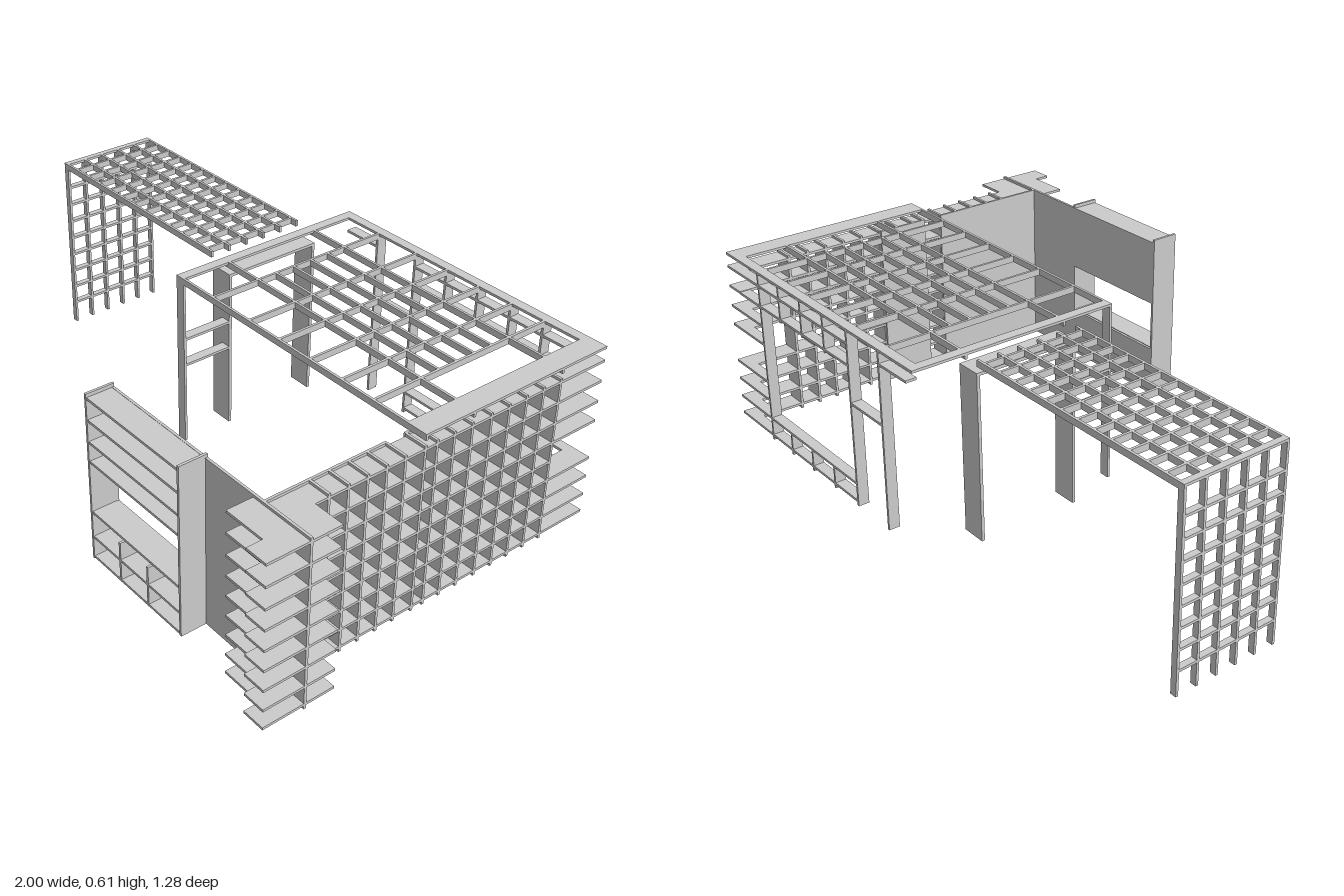
import * as THREE from 'three';

const mat = new THREE.MeshStandardMaterial({ color: 0xcccccc, flatShading: true });
const T = 0.008; // board thickness

export function createModel() {
  const model = new THREE.Group();

  const section = (name) => {
    const g = new THREE.Group();
    g.name = name;
    model.add(g);
    return g;
  };
  // board given by its limits along x, y and z
  const board = (parent, name, x0, x1, y0, y1, z0, z1) => {
    const m = new THREE.Mesh(new THREE.BoxGeometry(x1 - x0, y1 - y0, z1 - z0), mat);
    m.position.set((x0 + x1) / 2, (y0 + y1) / 2, (z0 + z1) / 2);
    m.name = name;
    parent.add(m);
  };
  const h = T / 2;

  // Pergola: six bent beams with cross slats on the roof and on the legs
  const pergola = section('pergola');
  for (let i = 0; i < 6; i++) {
    const z = -0.466 + i * 0.067;
    board(pergola, 'pergolaBeam', -1, -0.19, 0.59, 0.61, z - h, z + h);
    board(pergola, 'pergolaLeg', -1, -0.98, 0, 0.59, z - h, z + h);
  }
  for (let i = 1; i < 13; i++) {
    const x = -0.996 + i * 0.0648;
    board(pergola, 'roofSlat', x - h, x + h, 0.59, 0.61, -0.466, -0.131);
  }
  board(pergola, 'cornerSlat', -1, -0.98, 0.602, 0.61, -0.466, -0.131);
  for (let i = 0; i < 8; i++) {
    const y = 0.077 + i * 0.0635;
    board(pergola, 'legSlat', -1, -0.98, y - h, y + h, -0.466, -0.131);
  }

  // Portal between the pergola and the room
  const portal = section('portal');
  board(portal, 'portalTop', -0.185, -0.105, 0.557, 0.566, -0.467, -0.13);
  board(portal, 'portalBackSide', -0.185, -0.105, 0.035, 0.557, -0.467, -0.457);
  board(portal, 'portalFrontSide', -0.185, -0.105, 0.035, 0.557, -0.14, -0.13);

  // Post and rungs beside the portal
  board(portal, 'cornerPost', -0.138, -0.105, 0.035, 0.6, 0.034, 0.042);
  for (const y of [0.4, 0.31]) board(portal, 'rung', -0.138, -0.105, y - h, y + h, -0.13, 0.034);

  // Roof frame, flat strips on three sides
  const roof = section('roof');
  board(roof, 'leftStrip', -0.138, -0.105, 0.602, 0.61, -0.64, 0.042);
  board(roof, 'backStrip', -0.105, 0.83, 0.602, 0.61, -0.64, -0.608);
  board(roof, 'rightStrip', 0.83, 0.9, 0.602, 0.61, -0.64, 0.042);
  // Roof beams along x
  for (const z of [-0.466, -0.131, 0.038])
    board(roof, 'longBeam', -0.138, 0.9, 0.59, 0.61, z - h, z + h);
  for (let i = 1; i < 5; i++) {
    const z = -0.466 + i * 0.067;
    board(roof, 'shortBeam', 0.03, 0.7, 0.59, 0.61, z - h, z + h);
  }
  // Roof beams along z
  const beamX = [0.03, 0.195, 0.325, 0.453, 0.58, 0.703];
  for (const x of beamX) board(roof, 'crossBeam', x - h, x + h, 0.59, 0.61, -0.64, 0.042);

  // Back wall: posts, rails and short dividers
  const back = section('backWall');
  const zb0 = -0.64, zb1 = -0.605;
  for (const x of [0.03, 0.195, 0.703])
    board(back, 'backPost', x - h, x + h, 0.035, 0.602, zb0, zb1);
  for (const x of [0.325, 0.453, 0.58]) {
    board(back, 'lowerDivider', x - h, x + h, 0.035, 0.11, zb0, zb1);
    board(back, 'upperDivider', x - h, x + h, 0.485, 0.602, zb0, zb1);
  }
  for (const y of [0.05, 0.11, 0.495, 0.563])
    board(back, 'backRail', 0.195, 0.83, y - h, y + h, zb0, zb1);
  for (const y of [0.174, 0.238, 0.366, 0.43])
    board(back, 'cornerShelf', 0.7, 0.83, y - h, y + h, zb0, zb1);
  board(back, 'middleRail', 0.03, 0.195, 0.371, 0.379, zb0, zb1);
  board(back, 'topRail', -0.105, 0.03, 0.56, 0.568, zb0, zb1);

  // Side wall: nine stacked shelves with a stepped front end
  const side = section('sideWall');
  [0.05, 0.11, 0.174, 0.238, 0.302, 0.366, 0.43, 0.497, 0.563].forEach((y, i) => {
    const zBack = i === 4 ? -0.466 : -0.64;
    const plan = [
      [0.83, zBack], [0.9, zBack], [0.9, 0.405], [1, 0.405], [1, 0.637],
      [0.927, 0.637], [0.927, 0.587], [0.79, 0.587], [0.79, 0.502], [0.83, 0.502],
    ].map(([x, z]) => new THREE.Vector2(x, z));
    const geo = new THREE.ExtrudeGeometry(new THREE.Shape(plan), { depth: T, bevelEnabled: false });
    geo.rotateX(Math.PI / 2);
    const shelf = new THREE.Mesh(geo, mat);
    shelf.position.y = y + h;
    shelf.name = 'sideShelf';
    side.add(shelf);
  });
  for (const z of [0.36, 0.297, 0.234, 0.171, 0.108, 0.04, -0.002, -0.063, -0.128, -0.198, -0.265, -0.33, -0.396, -0.463])
    board(side, 'sideDivider', 0.83, 0.9, 0.035, 0.575, z - h, z + h);
  // Solid panels behind the shelves
  board(side, 'frontSidePanel', 0.822, 0.83, 0.035, 0.575, 0.105, 0.505);
  board(side, 'middleSidePanel', 0.822, 0.83, 0.035, 0.575, -0.128, 0.042);

  // Front wall with a window opening
  const front = section('frontWall');
  board(front, 'solidPanel', 0.6, 1, 0.035, 0.575, 0.497, 0.505);
  board(front, 'upperPanel', 0.195, 0.6, 0.362, 0.575, 0.497, 0.505);
  board(front, 'lowerPanel', 0.195, 0.6, 0.035, 0.198, 0.497, 0.505);
  // Shelf box on the front wall
  for (const x of [0.195, 0.6])
    board(front, 'boxSide', x - h, x + h, 0.035, 0.585, 0.497, 0.587);
  for (const y of [0.04, 0.11, 0.196, 0.366, 0.43, 0.5, 0.57])
    board(front, 'boxShelf', 0.195, 0.6, y - h, y + h, 0.505, 0.585);
  for (const x of [0.325, 0.453])
    board(front, 'boxDivider', x - h, x + h, 0.035, 0.17, 0.505, 0.585);

  return model;
}
